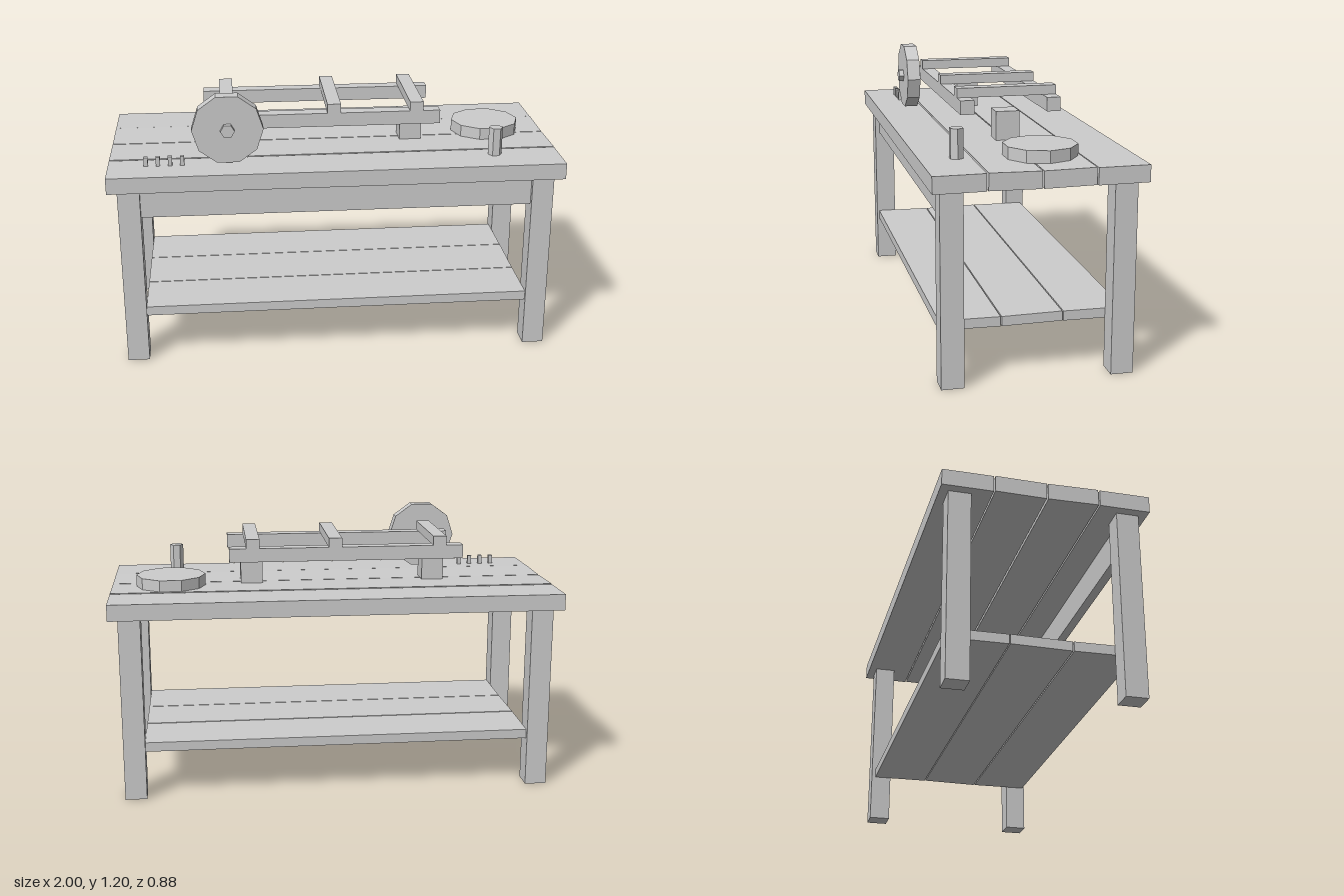
import * as THREE from 'three';

export function createModel() {
  const model = new THREE.Group();
  model.name = 'workbench';
  const grey = new THREE.MeshStandardMaterial({ color: 0xcccccc });
  grey.name = 'plain grey';

  const add = (name, geometry, x, y, z) => {
    const mesh = new THREE.Mesh(geometry, grey);
    mesh.name = name;
    mesh.position.set(x, y, z);
    model.add(mesh);
    return mesh;
  };
  // Box given by its extents on each axis
  const box = (name, x0, x1, y0, y1, z0, z1) =>
    add(name, new THREE.BoxGeometry(x1 - x0, y1 - y0, z1 - z0),
      (x0 + x1) / 2, (y0 + y1) / 2, (z0 + z1) / 2);
  // Faceted prism with corners on the x axis
  const prism = (radius, height, sides) =>
    new THREE.CylinderGeometry(radius, radius, height, sides).toNonIndexed().rotateY(Math.PI / 2);
  const flat = (geometry) => {
    geometry.computeVertexNormals();
    return geometry;
  };

  // Table top: four slightly uneven planks
  const topRoll = [0.005, -0.015, 0.015, 0.005];
  topRoll.forEach((roll, i) => {
    const z = 0.334 - i * 0.2225;
    box('topPlank', -0.998, 0.998, 0.825, 0.897, z - 0.108, z + 0.108).rotation.x = roll;
  });

  // Legs and front apron
  for (const sx of [-1, 1]) {
    for (const sz of [-1, 1]) {
      add('leg', new THREE.BoxGeometry(0.096, 0.825, 0.096), sx * 0.909, 0.4125, sz * 0.358);
    }
  }
  box('apron', -0.87, 0.87, 0.69, 0.826, 0.345, 0.385);

  // Lower shelf: three planks between the legs
  [-0.01, 0.012, -0.006].forEach((roll, i) => {
    const z = 0.267 - i * 0.263;
    box('shelfPlank', -0.862, 0.862, 0.217, 0.259, z - 0.129, z + 0.129).rotation.x = roll;
  });

  // Frame carried on two support blocks
  for (const x of [-0.475, 0.365]) box('supportBlock', x - 0.05, x + 0.05, 0.897, 1.024, -0.052, 0.052);
  for (const z of [-0.19, 0.19]) box('frameRail', -0.58, 0.47, 1.026, 1.087, z - 0.03, z + 0.03);
  for (const x of [-0.475, -0.003, 0.365]) box('crossBar', x - 0.03, x + 0.03, 1.086, 1.128, -0.22, 0.22);

  // Grinding wheel with axle
  add('wheel', flat(prism(0.156, 0.061, 10).rotateX(Math.PI / 2)), -0.475, 1.055, 0.284);
  add('axle', flat(prism(0.031, 0.105, 6).rotateX(Math.PI / 2)), -0.475, 1.055, 0.284);

  // Round plate, upright post and row of pegs
  add('roundPlate', flat(prism(0.156, 0.053, 10)), 0.732, 0.922, -0.058);
  add('post', flat(prism(0.031, 0.126, 6)), 0.71, 0.96, 0.288);
  for (let i = 0; i < 4; i++) {
    const x = -0.833 + i * 0.0525;
    box('peg', x - 0.009, x + 0.009, 0.895, 0.938, 0.291, 0.309);
  }
  return model;
}
